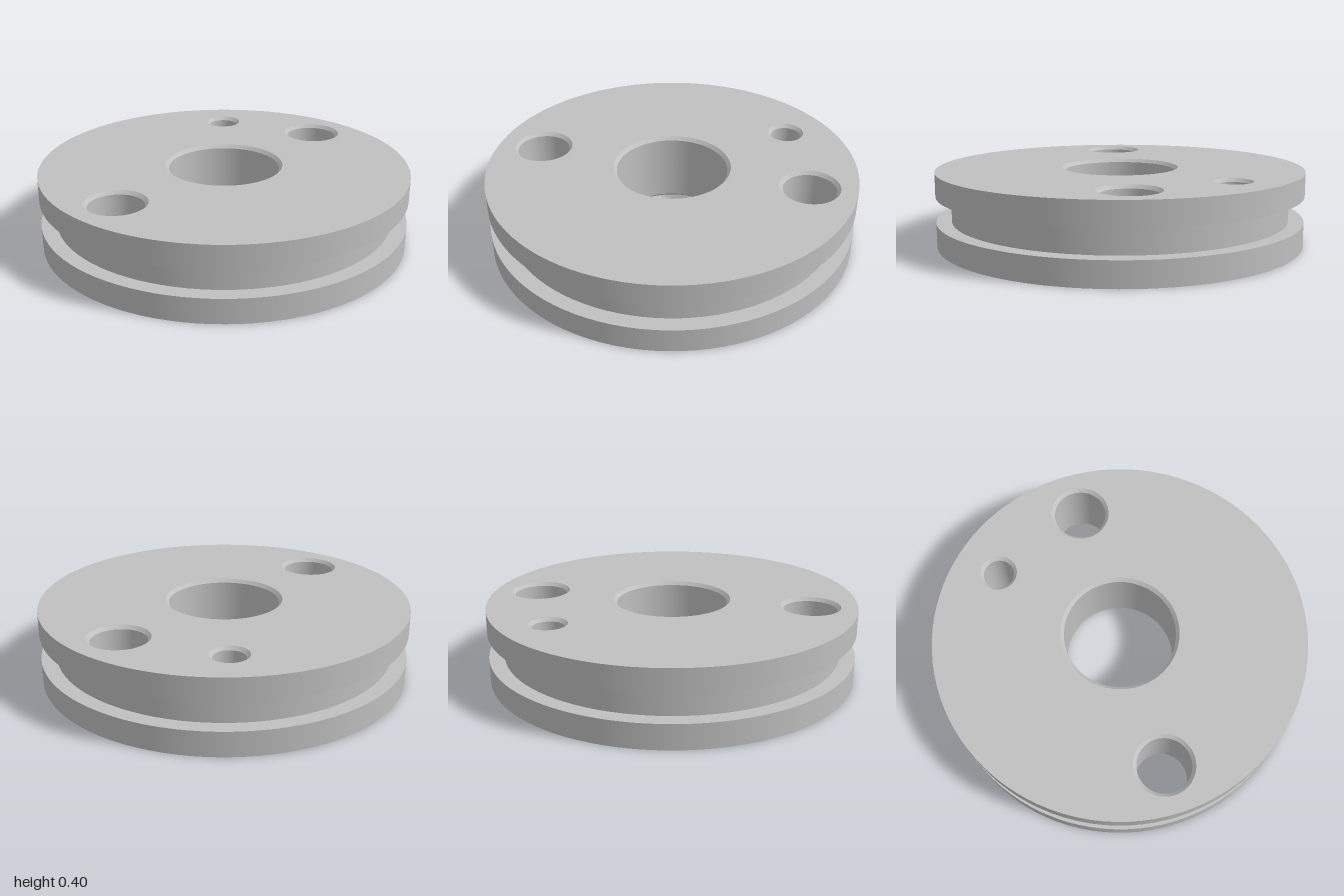
import * as THREE from 'three';
import { mergeGeometries } from 'three/addons/utils/BufferGeometryUtils.js';

const H = 0.402;        // disc thickness
const CHAMFER = 0.018;  // bevel at both ends of each through hole
const SEGMENTS = 96;

// through holes: name, x, z, bore radius
const HOLES = [
  ['centreBore', 0, 0, 0.3],
  ['leftHole', 0.75, 0, 0.142],
  ['rightHole', -0.75, 0, 0.142],
  ['smallHole', 0.53, -0.53, 0.082],
];

// blind pin holes in the underside
const PIN = { radius: 0.021, depth: 0.1, ring: 0.37 };
const PINS = [0, 1, 2, 3].map((i) => [
  PIN.ring * Math.cos((i * Math.PI) / 2),
  PIN.ring * Math.sin((i * Math.PI) / 2),
]);

// turned surface with a crisp edge at every profile point
function turned(profile, segments = SEGMENTS) {
  const bands = [];
  for (let i = 0; i < profile.length - 1; i++) {
    const pair = [profile[i], profile[i + 1]].map(([r, y]) => new THREE.Vector2(r, y));
    bands.push(new THREE.LatheGeometry(pair, segments));
  }
  return mergeGeometries(bands);
}

// flat disc with round openings given as [x, y, radius]
function plate(openings) {
  const shape = new THREE.Shape().absarc(0, 0, 1, 0, Math.PI * 2, false);
  for (const [x, y, r] of openings) {
    shape.holes.push(new THREE.Path().absarc(x, y, r, 0, Math.PI * 2, true));
  }
  return new THREE.ShapeGeometry(shape, SEGMENTS / 2);
}

export function createModel() {
  const model = new THREE.Group();
  model.name = 'groovedDisc';
  const metal = new THREE.MeshStandardMaterial({ color: 0xc0c0c0 });
  metal.name = 'grey metal';

  const add = (name, geometry, x = 0, y = 0, z = 0) => {
    const mesh = new THREE.Mesh(geometry, metal);
    mesh.name = name;
    mesh.position.set(x, y, z);
    model.add(mesh);
  };

  // rim with the square groove around its middle
  add('groovedRim', turned([
    [1, 0], [1, 0.132], [0.918, 0.132], [0.918, 0.273], [1, 0.273], [1, H],
  ]));

  // top and bottom faces
  const top = plate(HOLES.map(([, x, z, r]) => [x, -z, r + CHAMFER]));
  add('topFace', top.rotateX(-Math.PI / 2), 0, H, 0);
  const bottom = plate([
    ...HOLES.map(([, x, z, r]) => [x, z, r + CHAMFER]),
    ...PINS.map(([x, z]) => [x, z, PIN.radius]),
  ]);
  add('bottomFace', bottom.rotateX(Math.PI / 2));

  // chamfered through holes, profile runs downwards so walls face inwards
  for (const [name, x, z, r] of HOLES) {
    add(name, turned([
      [r + CHAMFER, H], [r, H - CHAMFER], [r, CHAMFER], [r + CHAMFER, 0],
    ]), x, 0, z);
  }

  // blind pin holes
  PINS.forEach(([x, z], i) => {
    add(`pinHole${i + 1}`, turned([
      [0, PIN.depth], [PIN.radius, PIN.depth], [PIN.radius, 0],
    ], 32), x, 0, z);
  });

  return model;
}
